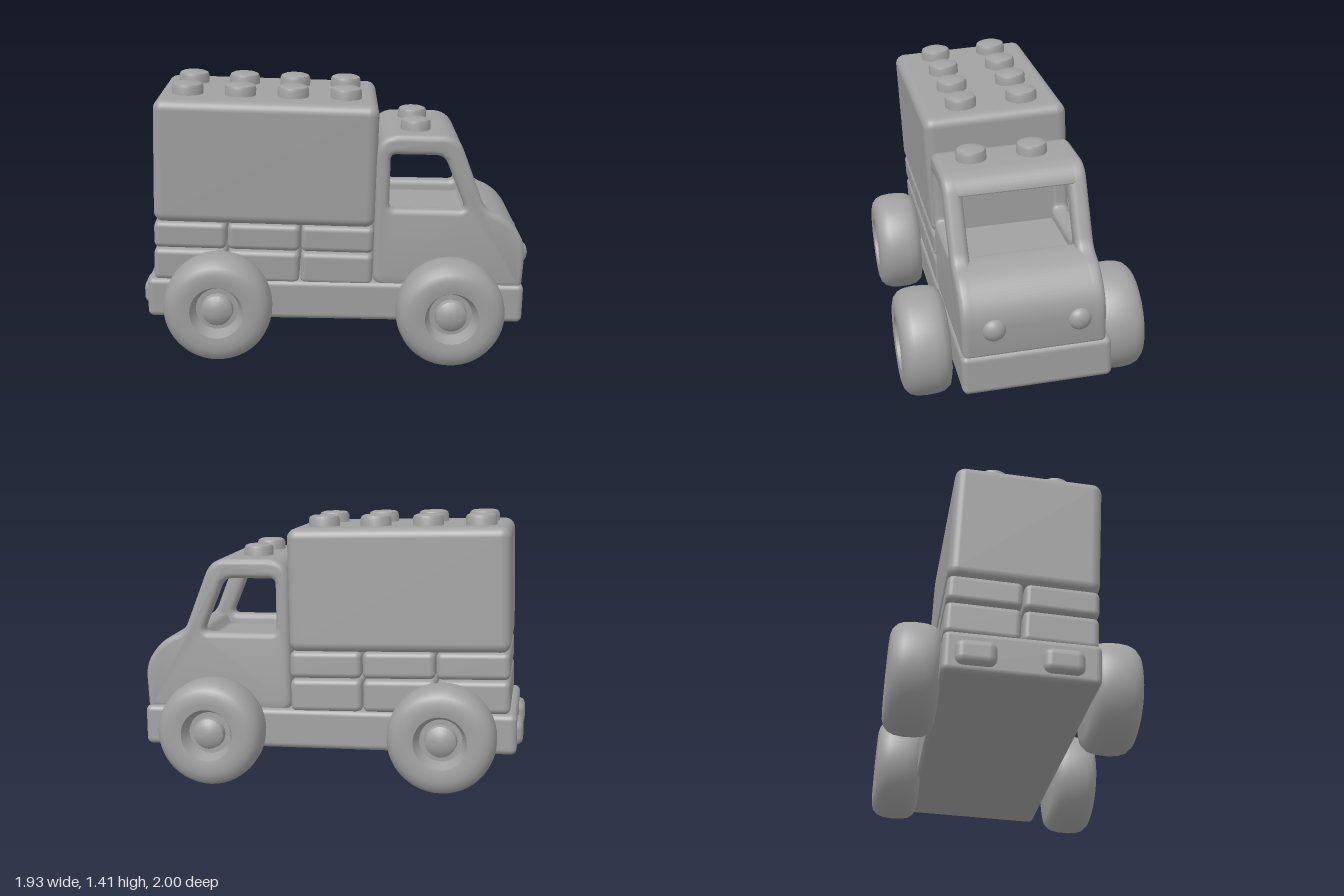
import * as THREE from 'three';
import { toCreasedNormals } from 'three/addons/utils/BufferGeometryUtils.js';
import { RoundedBoxGeometry } from 'three/addons/geometries/RoundedBoxGeometry.js';

const plastic = new THREE.MeshStandardMaterial({ color: 0xa0a0a0 });
plastic.name = 'grey plastic';

function add(parent, name, geometry, x = 0, y = 0, z = 0) {
  const mesh = new THREE.Mesh(geometry, plastic);
  mesh.name = name;
  mesh.position.set(x, y, z);
  parent.add(mesh);
  return mesh;
}

// Rounded block given by its limits on each axis
function block(parent, name, [x0, x1], [y0, y1], [z0, z1], radius) {
  const geometry = new RoundedBoxGeometry(x1 - x0, y1 - y0, z1 - z0, 4, radius);
  return add(parent, name, geometry, (x0 + x1) / 2, (y0 + y1) / 2, (z0 + z1) / 2);
}

// Closed path with rounded corners; each point is [forward, up, radius]
function roundedPath(path, points) {
  points.forEach(([x, y, r], i) => {
    const corner = new THREE.Vector2(x, y);
    const toward = (q) => {
      const d = new THREE.Vector2(q[0] - x, q[1] - y);
      return corner.clone().addScaledVector(d, r / d.length());
    };
    const a = toward(points[(i + points.length - 1) % points.length]);
    const b = toward(points[(i + 1) % points.length]);
    if (i === 0) path.moveTo(a.x, a.y);
    else path.lineTo(a.x, a.y);
    path.quadraticCurveTo(x, y, b.x, b.y);
  });
  path.closePath();
  return path;
}

// Side profile extruded across the truck, centred on x = 0
function across(shape, width, bevel) {
  const geometry = new THREE.ExtrudeGeometry(shape, {
    depth: width - 2 * bevel, curveSegments: 8, bevelEnabled: bevel > 0,
    bevelSize: bevel, bevelThickness: bevel, bevelOffset: -bevel, bevelSegments: 5,
  });
  geometry.translate(0, 0, bevel - width / 2);
  geometry.rotateY(Math.PI / 2);
  return toCreasedNormals(geometry, 0.7);
}

function lathe(points, segments = 32) {
  const geometry = new THREE.LatheGeometry(points.map(([r, y]) => new THREE.Vector2(r, y)), segments);
  return toCreasedNormals(geometry, 0.75);
}

function studGeometry(r) {
  return lathe([[r, -0.04], [r, 0.035], [r - 0.006, 0.049], [r - 0.022, 0.056], [0, 0.06]], 24);
}

function buildCab() {
  const cab = new THREE.Group();
  cab.name = 'cab';
  const hood = [[0.96, 0.38, 0.03], [0.97, 0.62, 0.08], [0.87, 0.745, 0.065]];
  const roofFront = [0.605, 1.165, 0.085];
  const roofRear = [0.2, 1.165, 0.12];

  // Side walls with door windows
  const sideShape = roundedPath(new THREE.Shape(), [
    [0.2, 0.38, 0.06], ...hood, [0.755, 0.79, 0.05], roofFront, roofRear,
  ]);
  sideShape.holes.push(roundedPath(new THREE.Path(), [
    [0.272, 0.785, 0.03], [0.272, 1.065, 0.03], [0.54, 1.065, 0.05], [0.658, 0.785, 0.04],
  ]));
  const sideGeometry = across(sideShape, 0.09, 0.03);
  for (const side of [-1, 1]) add(cab, 'cabSide', sideGeometry, side * 0.302);

  // Hood and floor
  const lower = roundedPath(new THREE.Shape(), [
    [0.2, 0.38, 0.02], ...hood, [0.755, 0.79, 0.035], [0.69, 0.79, 0.025], [0.66, 0.73, 0.02], [0.2, 0.73, 0.02],
  ]);
  add(cab, 'hood', across(lower, 0.604, 0));

  // Roof with the windscreen header
  const roof = roundedPath(new THREE.Shape(), [
    [0.2, 1.035, 0.01], [0.26, 1.035, 0.01], [0.28, 1.075, 0.02], [0.59, 1.075, 0.015],
    [0.642, 1.072, 0.012], roofFront, roofRear,
  ]);
  add(cab, 'roof', across(roof, 0.604, 0));
  block(cab, 'backWall', [-0.3, 0.3], [0.6, 1.1], [-0.265, -0.2], 0.01);

  const stud = studGeometry(0.075);
  for (const side of [-1, 1]) {
    add(cab, 'roofStud', stud, side * 0.15 + 0.02, 1.165, -0.4);
    const lamp = add(cab, 'headlight', new THREE.SphereGeometry(0.056, 24, 16), side * 0.205 - 0.01, 0.53, -0.96);
    lamp.scale.z = 0.7;
  }
  cab.position.x = -0.005;
  return cab;
}

function buildCargo() {
  const cargo = new THREE.Group();
  cargo.name = 'cargo';
  const x0 = -0.385, x1 = 0.34, z0 = -0.195, z1 = 0.92;

  // Two layers of bricks, two across and three along
  const dx = (x1 - x0) / 2, dz = (z1 - z0) / 3;
  for (const [y0, y1] of [[0.385, 0.553], [0.557, 0.695]]) {
    for (let i = 0; i < 2; i++) for (let j = 0; j < 3; j++) {
      const x = x0 + i * dx, z = z0 + j * dz;
      block(cargo, 'brick', [x + 0.003, x + dx - 0.003], [y0, y1], [z + 0.003, z + dz - 0.003], 0.03);
    }
  }

  // Large block with two rows of studs
  block(cargo, 'cargoBox', [x0, x1], [0.69, 1.315], [z0, z1], 0.05);
  const stud = studGeometry(0.079);
  for (const x of [-0.188, 0.124]) {
    for (let j = 0; j < 4; j++) add(cargo, 'cargoStud', stud, x, 1.315, -0.03 + j * 0.266);
  }

  // The load leans a touch more than the chassis
  cargo.rotation.set(-0.012, 0, -0.016);
  return cargo;
}

function buildWheels(truck) {
  // Fat tyre with a recessed rim and domed hub
  const geometry = lathe([
    [0, -0.12], [0.2, -0.12], [0.24, -0.108], [0.261, -0.08], [0.269, -0.04], [0.271, 0.015],
    [0.266, 0.06], [0.254, 0.09], [0.23, 0.112], [0.2, 0.121], [0.165, 0.123], [0.132, 0.118],
    [0.106, 0.05], [0.08, 0.05], [0.076, 0.082], [0.055, 0.098], [0.025, 0.106], [0, 0.108],
  ], 48);
  const places = [
    ['frontWheel', 0.488, -0.583], ['frontWheel', -0.475, -0.583],
    ['rearWheel', 0.463, 0.575], ['rearWheel', -0.485, 0.583],
  ];
  for (const [name, x, z] of places) {
    const wheel = add(truck, name, geometry, x, 0.306, z);
    wheel.rotation.z = -Math.sign(x) * Math.PI / 2;
  }
  for (const z of [-0.583, 0.58]) {
    const axle = add(truck, 'axle', new THREE.CylinderGeometry(0.05, 0.05, 0.8, 16), 0, 0.306, z);
    axle.rotation.z = Math.PI / 2;
  }
}

export function createModel() {
  const truck = new THREE.Group();
  truck.name = 'truck';

  block(truck, 'chassis', [-0.377, 0.352], [0.195, 0.4], [-0.97, 0.945], 0.03);
  for (const side of [-1, 1]) {
    const x = side * 0.2 - 0.025;
    block(truck, 'tailLight', [x - 0.097, x + 0.097], [0.228, 0.355], [0.89, 0.975], 0.04);
  }
  truck.add(buildCab(), buildCargo());
  buildWheels(truck);

  // The truck is parked at an angle, with a slight lean
  truck.rotation.set(0.01, -0.637, -0.047, 'XZY');

  const model = new THREE.Group();
  model.name = 'toyTruck';
  model.add(truck);
  model.updateMatrixWorld(true);
  const bounds = new THREE.Box3().setFromObject(model, true);
  const centre = bounds.getCenter(new THREE.Vector3());
  truck.position.set(-centre.x, -bounds.min.y, -centre.z);
  return model;
}
